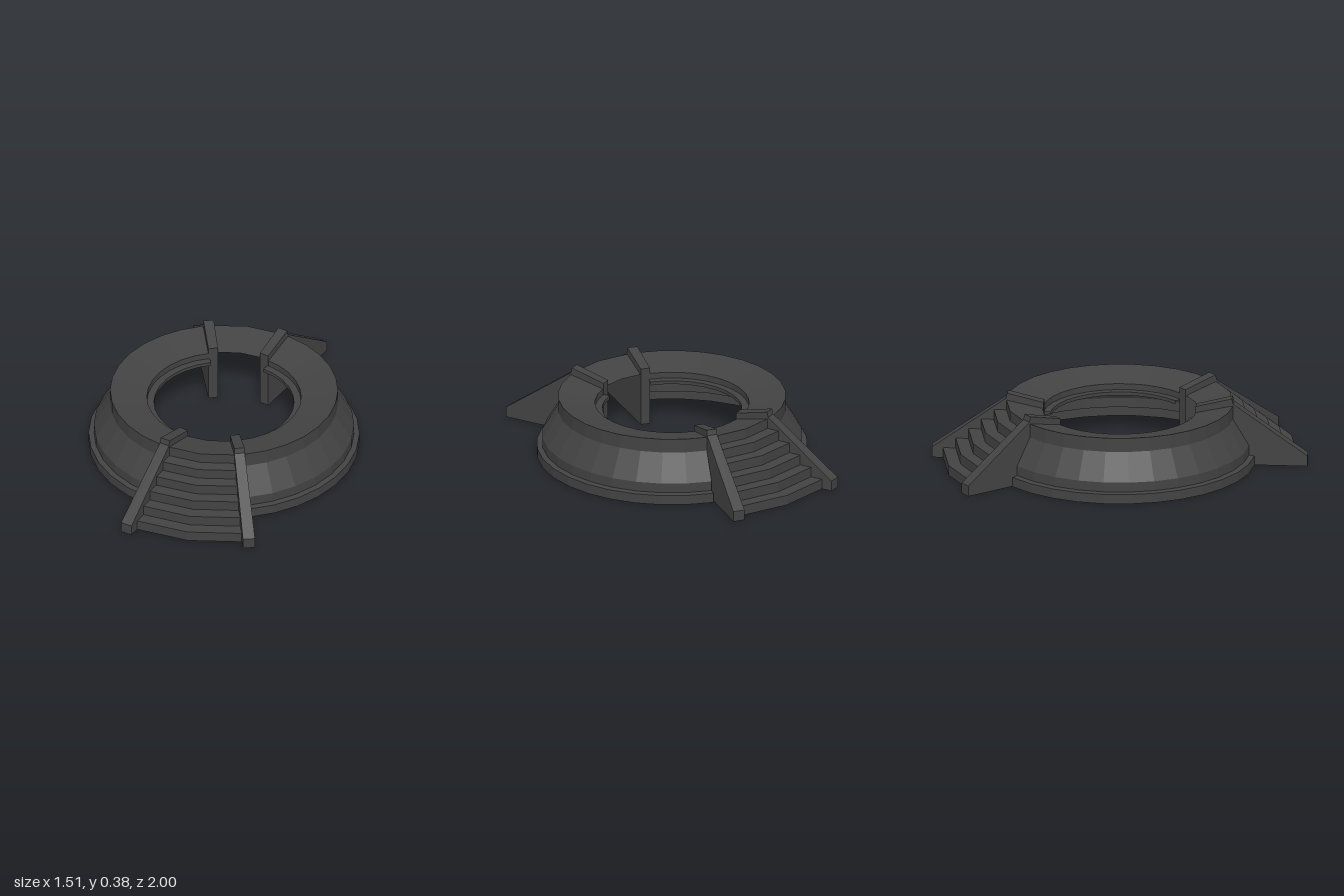
import * as THREE from 'three';

const material = new THREE.MeshStandardMaterial({
  color: 0x434343, flatShading: true, side: THREE.DoubleSide,
});
const rad = THREE.MathUtils.degToRad;

function part(name, geometry) {
  const flat = geometry.index ? geometry.toNonIndexed() : geometry;
  flat.computeVertexNormals();
  const mesh = new THREE.Mesh(flat, material);
  mesh.name = name;
  return mesh;
}

// Sweep a (radius, height) profile around y; angles are measured from +z towards +x
function sweep(points, startDeg, lengthDeg, segments) {
  const profile = points.map(([r, y]) => new THREE.Vector2(r, y));
  return new THREE.LatheGeometry(profile, segments, rad(startDeg), rad(lengthDeg));
}

// Hollow wall: stepped foot, sloping flank, top falling inwards and a small inner lip
function ringWall() {
  return part('ringWall', sweep([
    [0.755, 0], [0.755, 0.055], [0.725, 0.06], [0.725, 0.115],
    [0.635, 0.265], [0.635, 0.345], [0.43, 0.3],
    [0.43, 0.265], [0.39, 0.265], [0.39, 0.245],
  ], 22.5, 135, 12));
}

// Six risers up to the inward-falling landing, bent once in the middle
function stairs() {
  const count = 6, rise = 0.345 / count, going = 0.071;
  const points = [];
  for (let i = 0; i < count; i++) {
    const r = 0.99 - i * going;
    points.push([r, i * rise], [r, (i + 1) * rise]);
  }
  points.push([0.435, 0.3]);
  return part('stairs', sweep(points, -18.5, 37, 2));
}

// Side wall of the stairs, splayed outwards; side is +1 or -1
function cheekWall(side) {
  const shape = new THREE.Shape([
    [0, 0], [1, 0], [1, 0.06], [0.337, 0.355], [0.325, 0.385], [0, 0.335],
  ].map(([t, y]) => new THREE.Vector2(t, y)));
  const geometry = new THREE.ExtrudeGeometry(shape, { depth: 1, bevelEnabled: false });
  const pos = geometry.attributes.position;
  for (let i = 0; i < pos.count; i++) {
    const t = pos.getX(i);
    const w = side > 0 ? 1 - pos.getZ(i) : pos.getZ(i);
    const x = 0.12 + 0.197 * t + w * (0.05 + 0.014 * t);
    const z = 0.41 + 0.59 * t - 0.021 * w;
    pos.setXYZ(i, side * x, pos.getY(i), z);
  }
  return part(side > 0 ? 'leftCheekWall' : 'rightCheekWall', geometry);
}

export function createModel() {
  const model = new THREE.Group();
  model.name = 'ringPlatform';
  // Two identical halves, each a stairway and half of the ring
  ['front', 'back'].forEach((name, i) => {
    const half = new THREE.Group();
    half.name = name + 'Half';
    half.add(ringWall(), stairs(), cheekWall(1), cheekWall(-1));
    half.rotation.y = i * Math.PI;
    model.add(half);
  });
  return model;
}
